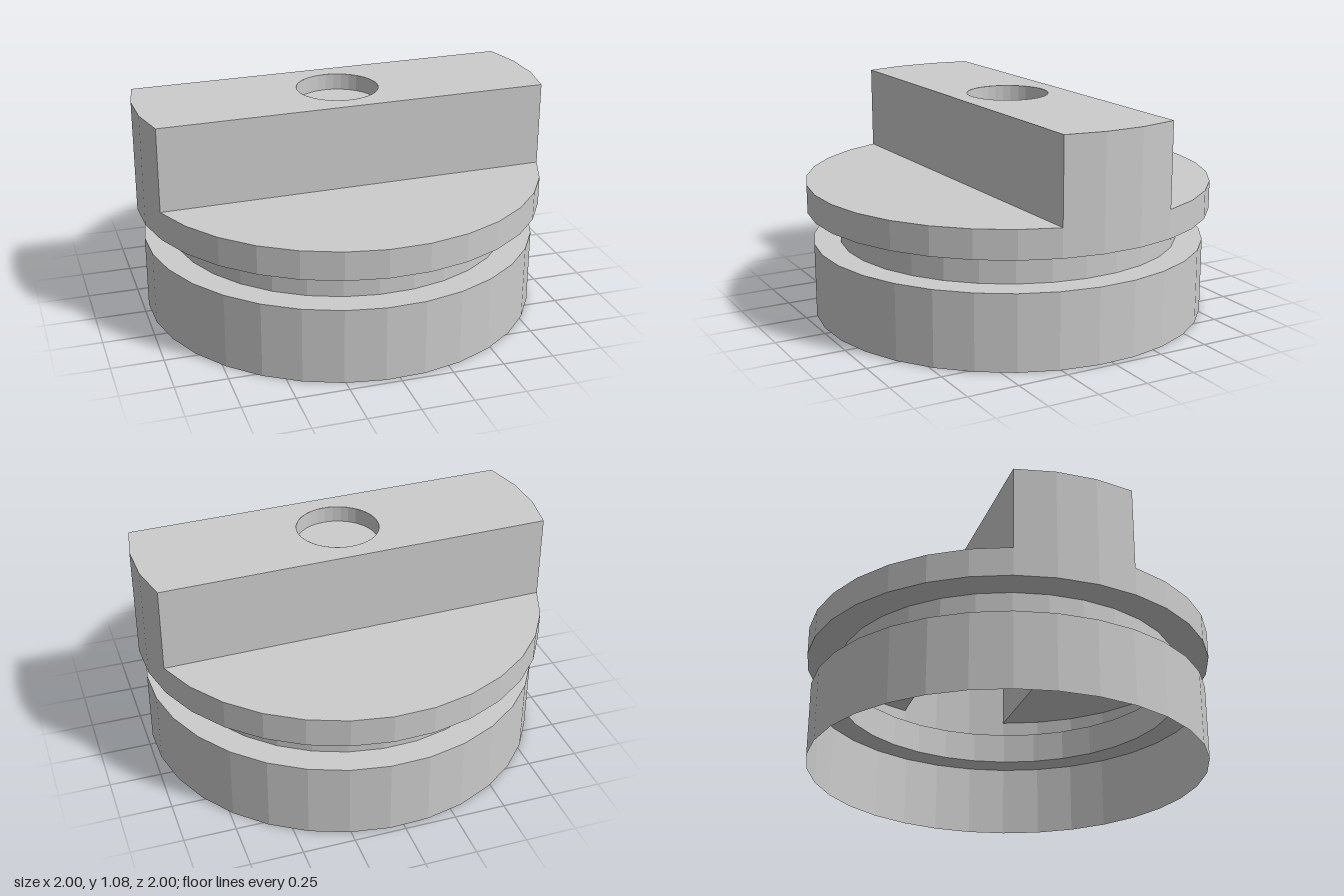
import * as THREE from 'three';

const SIDES = 32;
const STEP = (Math.PI * 2) / SIDES;
const OFFSET = THREE.MathUtils.degToRad(4);
const R = 1.002;
const Y = { skirtTop: 0.37, neckTop: 0.53, flangeTop: 0.67, gripTop: 1.08 };
const HOLE_R = 0.2, HOLE_DEPTH = 0.08;

const material = new THREE.MeshStandardMaterial({
  color: 0xcccccc, flatShading: true, side: THREE.DoubleSide,
});

// Corner k of the flange rim as (x, -z), counted from the back towards +x
const rim = (k) => new THREE.Vector2(
  R * Math.sin(OFFSET + k * STEP), R * Math.cos(OFFSET + k * STEP));

const rimRange = (from, to) => {
  const points = [];
  for (let k = from; k <= to; k++) points.push(rim(k));
  return points;
};

// Thin turned shell, facets lined up with the rim corners
const turned = (profile) => new THREE.LatheGeometry(
  profile.map(([r, y]) => new THREE.Vector2(r, y)), SIDES, Math.PI - OFFSET - SIDES / 2 * STEP, Math.PI * 2);

// Horizontal sheet facing up at height y
const sheet = (shape, y) =>
  new THREE.ShapeGeometry(shape, SIDES).rotateX(-Math.PI / 2).translate(0, y, 0);

// Upright wall around a closed outline
function wall(outline, y0, y1) {
  const positions = [];
  outline.forEach((p, i) => {
    const q = outline[(i + 1) % outline.length];
    positions.push(
      q.x, y0, -q.y, p.x, y0, -p.y, p.x, y1, -p.y,
      q.x, y0, -q.y, p.x, y1, -p.y, q.x, y1, -q.y);
  });
  const geometry = new THREE.BufferGeometry();
  geometry.setAttribute('position', new THREE.Float32BufferAttribute(positions, 3));
  geometry.computeVertexNormals();
  return geometry;
}

export function createModel() {
  const model = new THREE.Group();
  const add = (name, geometry, parent = model) => {
    const mesh = new THREE.Mesh(geometry, material);
    mesh.name = name;
    parent.add(mesh);
  };

  // Hollow body, open underneath: skirt, recessed neck and flange edge
  add('skirt', turned([[0.975, 0], [0.975, Y.skirtTop], [0.843, Y.skirtTop]]));
  add('neck', turned([[0.843, Y.skirtTop], [0.843, Y.neckTop]]));
  add('flange', turned([[0.843, Y.neckTop], [R, Y.neckTop], [R, Y.flangeTop]]));

  // Flange top on either side of the grip
  add('flangeTopFront', sheet(new THREE.Shape(rimRange(9, 22)), Y.flangeTop));
  add('flangeTopBack', sheet(new THREE.Shape(rimRange(25, 38)), Y.flangeTop));

  // Hollow grip bar spanning the cap, ends following the rim
  const grip = new THREE.Group();
  grip.name = 'grip';
  model.add(grip);
  const outline = [...rimRange(6, 9), ...rimRange(22, 25)];
  add('gripWalls', wall(outline, Y.flangeTop, Y.gripTop), grip);

  const top = new THREE.Shape(outline);
  top.holes.push(new THREE.Path().absarc(0, 0, HOLE_R, 0, Math.PI * 2, true));
  add('gripTop', sheet(top, Y.gripTop), grip);

  // Shallow round recess in the grip
  const floor = Y.gripTop - HOLE_DEPTH;
  add('recess', new THREE.LatheGeometry([
    new THREE.Vector2(HOLE_R, Y.gripTop),
    new THREE.Vector2(HOLE_R, floor),
    new THREE.Vector2(0, floor),
  ], SIDES), grip);

  return model;
}
